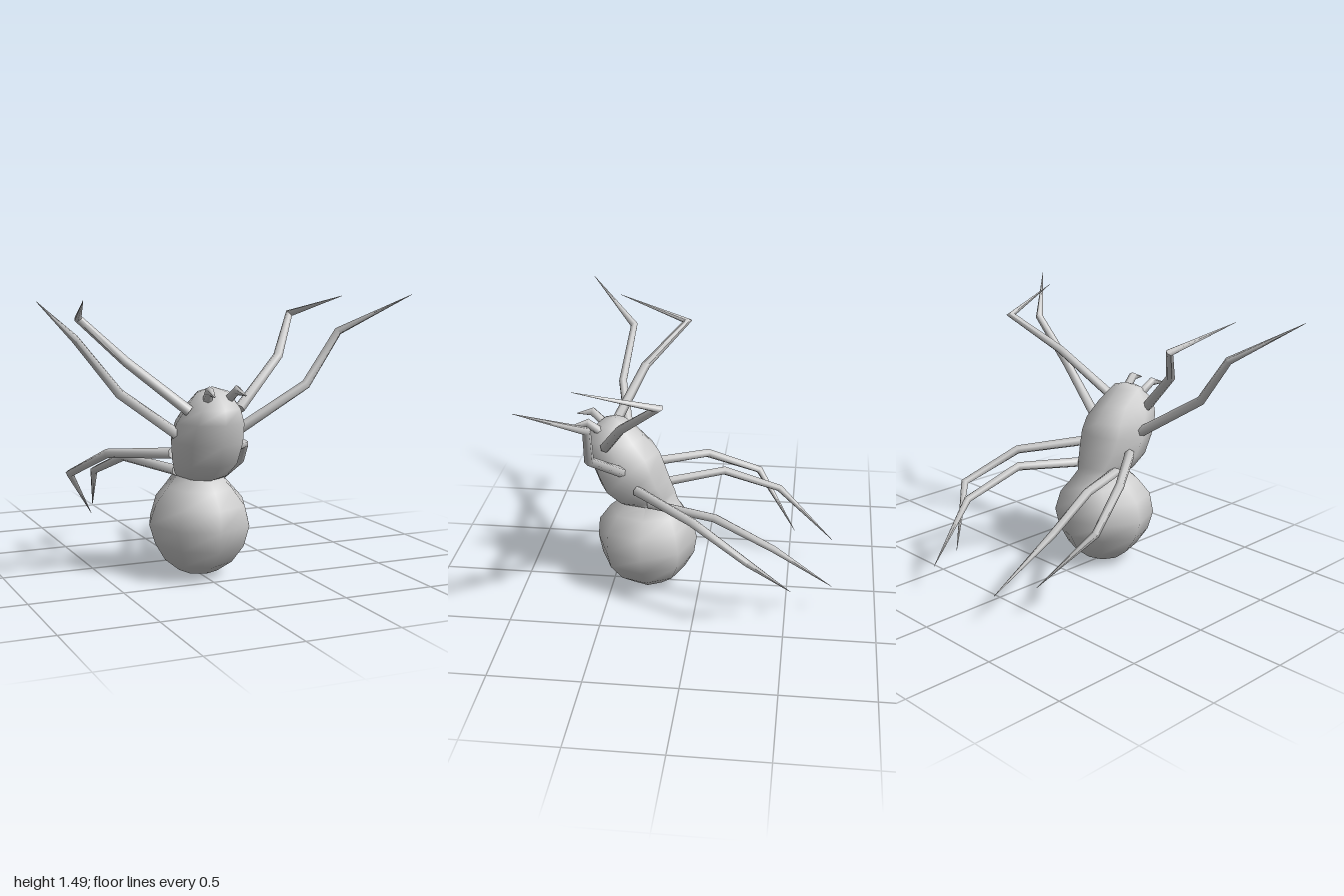
import * as THREE from 'three';
import { mergeVertices, toCreasedNormals } from 'three/addons/utils/BufferGeometryUtils.js';

const material = new THREE.MeshStandardMaterial({ color: 0xcccccc });

// Skins a list of closed rings (each an equal-length array of Vector3)
function skin(rings) {
  const n = rings[0].length;
  const index = [];
  for (let i = 0; i < rings.length - 1; i++) {
    for (let j = 0; j < n; j++) {
      const k = (j + 1) % n;
      const a = i * n + j, b = i * n + k, c = a + n, d = b + n;
      index.push(a, b, d, a, d, c);
    }
  }
  const geometry = new THREE.BufferGeometry().setFromPoints(rings.flat());
  geometry.setIndex(index);
  return toCreasedNormals(mergeVertices(geometry), 1.2);
}

function ring(center, u, v, sides) {
  return Array.from({ length: sides }, (_, j) => {
    const a = (j / sides) * Math.PI * 2;
    return center.clone().addScaledVector(u, Math.cos(a)).addScaledVector(v, Math.sin(a));
  });
}

// Jointed limb: mitred rings at every joint, closed at the root
function limb(name, points, radii, side) {
  const p = points.map(([x, y, z]) => new THREE.Vector3(x * side, y, z));
  const dirs = p.slice(1).map((q, i) => q.clone().sub(p[i]).normalize());
  const last = dirs.length - 1;
  const rings = [];
  let u = new THREE.Vector3(0, 1, 0);
  p.forEach((q, i) => {
    const before = dirs[Math.max(i - 1, 0)], after = dirs[Math.min(i, last)];
    const t = before.clone().add(after).normalize();
    u = u.clone().addScaledVector(t, -u.dot(t)).normalize();
    const v = t.clone().cross(u);
    // Widen across the bend so the segments keep their thickness
    const bend = after.clone().sub(before);
    const stretch = Math.min(1 / before.dot(t), 1.4) - 1;
    if (bend.length() > 0.01) bend.normalize(); else bend.set(0, 0, 0);
    const widen = (w) => w.clone().addScaledVector(bend, w.dot(bend) * stretch).multiplyScalar(radii[i]);
    if (i === 0) rings.push(ring(q, new THREE.Vector3(), new THREE.Vector3(), 6));
    rings.push(ring(q, widen(u), widen(v), 6));
  });
  const mesh = new THREE.Mesh(skin(rings), material);
  mesh.name = name;
  return mesh;
}

// Body sections: front z, front y, back z, back y, half width
const BODY = [
  [0.30, 0.00, 0.30, 0.00, 0],
  [0.40, 0.02, 0.18, 0.03, 0.11],
  [0.49, 0.077, 0.09, 0.10, 0.19],
  [0.565, 0.17, 0.035, 0.20, 0.25],
  [0.586, 0.28, 0.02, 0.30, 0.285],
  [0.575, 0.39, 0.045, 0.41, 0.25],
  [0.51, 0.48, 0.09, 0.48, 0.18],
  [0.45, 0.53, 0.13, 0.55, 0.125],
  [0.48, 0.54, 0.14, 0.59, 0.145],
  [0.56, 0.615, 0.17, 0.67, 0.18],
  [0.60, 0.73, 0.20, 0.76, 0.20],
  [0.64, 0.845, 0.225, 0.83, 0.185],
  [0.635, 0.92, 0.31, 0.92, 0.15],
  [0.55, 1.00, 0.40, 1.00, 0.09],
  [0.465, 1.027, 0.465, 1.027, 0],
];

// Joints from root to tip on the model's left side
const LEGS = {
  FirstLeg: [[0.14, 0.91, 0.50], [0.43, 1.16, 0.36], [0.61, 1.37, 0.14], [0.71, 1.48, 0.54]],
  SecondLeg: [[0.17, 0.78, 0.41], [0.52, 1.02, 0.51], [0.73, 1.29, 0.47], [1.0, 1.49, 0.75]],
  ThirdLeg: [[0.17, 0.67, 0.33], [0.41, 0.63, 0], [0.53, 0.475, -0.30], [0.33, 0.18, -0.53]],
  FourthLeg: [[0.12, 0.565, 0.27], [0.28, 0.587, -0.11], [0.345, 0.455, -0.43], [0.25, 0.18, -0.75]],
};
const FANG = [[0.055, 0.95, 0.52], [0.075, 1.02, 0.605], [0.085, 1.0, 0.695]];

export function createModel() {
  const model = new THREE.Group();
  model.name = 'spider';

  // Abdomen and head in one waisted skin
  const sections = BODY.map(([zf, yf, zb, yb, w]) => ring(
    new THREE.Vector3(0, (yf + yb) / 2, (zf + zb) / 2),
    new THREE.Vector3(0, (yf - yb) / 2, (zf - zb) / 2),
    new THREE.Vector3(w, 0, 0), 8));
  const body = new THREE.Mesh(skin(sections), material);
  body.name = 'body';
  model.add(body);

  // Four pairs of legs and a pair of fangs
  for (const [prefix, side] of [['left', 1], ['right', -1]]) {
    for (const [name, points] of Object.entries(LEGS)) {
      model.add(limb(prefix + name, points, [0.029, 0.025, 0.021, 0.001], side));
    }
    model.add(limb(prefix + 'Fang', FANG, [0.026, 0.023, 0.002], side));
  }
  return model;
}
